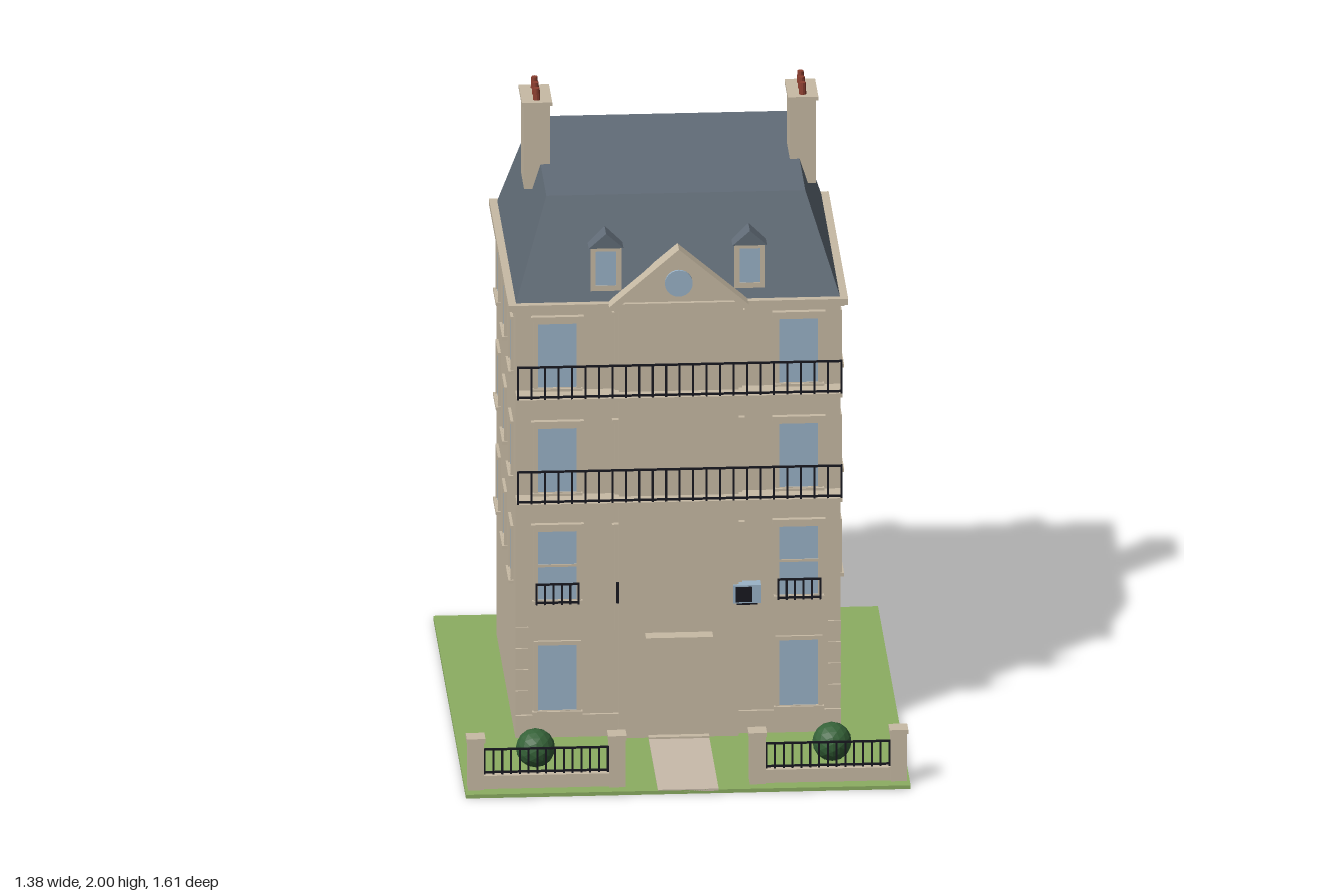
import * as THREE from 'three';

const mat = (name, color, side = THREE.FrontSide) => {
  const m = new THREE.MeshStandardMaterial({ color, side, flatShading: true });
  m.name = name;
  return m;
};
const M = {
  stone: mat('stone', 0xc8bba5),
  slate: mat('slate', 0x626d78),
  glass: mat('glass', 0x9ab3c8),
  grass: mat('grass', 0x8cae62),
  path: mat('path', 0xc9bbab),
  iron: mat('iron', 0x17181f),
  pot: mat('clay', 0x8c3f30),
  bush: mat('foliage', 0x356238),
};

const add = (parent, name, geo, material) => {
  const m = new THREE.Mesh(geo, material);
  m.name = name;
  parent.add(m);
  return m;
};
// Box given by its minimum and maximum along each axis
const box = (parent, name, material, x0, x1, y0, y1, z0, z1) => {
  const m = add(parent, name, new THREE.BoxGeometry(Math.abs(x1 - x0), y1 - y0, z1 - z0), material);
  m.position.set((x0 + x1) / 2, (y0 + y1) / 2, (z0 + z1) / 2);
  return m;
};
const group = (parent, name) => {
  const g = new THREE.Group();
  g.name = name;
  parent.add(g);
  return g;
};
const prism = (points, depth, hole) => {
  const s = new THREE.Shape(points.map(p => new THREE.Vector2(...p)));
  if (hole) s.holes.push(hole);
  return new THREE.ExtrudeGeometry(s, { depth, bevelEnabled: false, curveSegments: 24 });
};
const rect = (w, y0, y1) => [[-w, y0], [w, y0], [w, y1], [-w, y1]];

// Window facing +z, with the wall at z = 0; w is the half width of the glass
function makeWindow(parent, w, y0, y1, lintel = false) {
  const g = group(parent, 'window');
  const f = 0.013;
  box(g, 'pane', M.glass, -w, w, y0, y1, 0.0005, 0.004);
  const hole = new THREE.Path(rect(w, y0, y1).map(p => new THREE.Vector2(...p)));
  add(g, 'frame', prism(rect(w + f, y0 - f, y1 + f), 0.009, hole), M.stone);
  box(g, 'sill', M.stone, -w - 0.018, w + 0.018, y0 - f, y0 - 0.002, 0, 0.016);
  if (lintel) {
    box(g, 'lintel', M.stone, -w - 0.022, w + 0.022, y1 + 0.012, y1 + 0.026, 0, 0.018);
    for (const s of [-1, 1]) {
      box(g, 'lintelBracket', M.stone, s * (w + 0.004), s * (w + 0.013), y1 - 0.012, y1 + 0.012, 0, 0.014);
    }
  }
  return g;
}

// Railing along x with evenly spaced bars
function makeRailing(parent, x0, x1, y0, y1, z, bars, t = 0.006) {
  const g = group(parent, 'railing');
  box(g, 'topRail', M.iron, x0, x1, y1 - t, y1, z - t / 2, z + t / 2);
  box(g, 'bottomRail', M.iron, x0, x1, y0 + 0.004, y0 + 0.004 + t, z - t / 2, z + t / 2);
  for (let i = 0; i <= bars; i++) {
    const x = x0 + t / 2 + (x1 - x0 - t) * i / bars;
    box(g, 'bar', M.iron, x - t / 2, x + t / 2, y0, y1, z - t / 2, z + t / 2);
  }
}

// Dormer facing +z, with its front at z = 0
function makeDormer(parent) {
  const g = group(parent, 'dormer');
  box(g, 'dormerBody', M.stone, -0.045, 0.045, 1.475, 1.62, -0.07, 0);
  box(g, 'dormerPane', M.glass, -0.032, 0.032, 1.492, 1.605, 0, 0.003);
  const hole = new THREE.Path(rect(0.032, 1.492, 1.605).map(p => new THREE.Vector2(...p)));
  add(g, 'dormerFrame', prism(rect(0.048, 1.475, 1.617), 0.006, hole), M.stone);
  const roof = add(g, 'dormerRoof', prism([[-0.054, 1.616], [0.054, 1.616], [0, 1.664]], 0.085), M.slate);
  roof.position.z = -0.076;
  return g;
}

export function createModel() {
  const model = new THREE.Group();
  model.name = 'townHouse';
  const F = 0.291, B = -0.63, W = 0.505, BAY = 0.323;

  // Garden
  box(model, 'lawn', M.grass, -0.69, 0.69, 0, 0.012, -0.81, 0.8);
  box(model, 'path', M.path, -0.094, 0.094, 0.008, 0.015, 0.31, 0.8);
  box(model, 'doorstep', M.stone, -0.094, 0.094, 0.012, 0.021, 0.3, 0.345);
  for (const s of [-1, 1]) {
    const bush = add(model, 'bush', new THREE.IcosahedronGeometry(0.061, 2), M.bush);
    bush.position.set(s * 0.46, 0.08, 0.575);
    const fence = group(model, 'fence');
    for (const x of [s * 0.218, s * 0.656]) {
      box(fence, 'gatePost', M.stone, x - 0.025, x + 0.025, 0.012, 0.168, 0.711, 0.761);
      box(fence, 'postCap', M.stone, x - 0.029, x + 0.029, 0.168, 0.182, 0.707, 0.765);
    }
    box(fence, 'lowWall', M.stone, s * 0.243, s * 0.631, 0.012, 0.055, 0.721, 0.751);
    const c = s * 0.437;
    makeRailing(fence, c - 0.194, c + 0.194, 0.055, 0.14, 0.736, 14);
  }

  // Main walls, centre bay and cornice
  box(model, 'walls', M.stone, -W, W, 0.012, 1.42, B, F);
  box(model, 'centreBay', M.stone, -0.185, 0.185, 0.012, 1.42, F, BAY);
  box(model, 'corniceLower', M.stone, -0.516, 0.516, 1.415, 1.425, -0.642, 0.302);
  box(model, 'cornice', M.stone, -0.527, 0.527, 1.422, 1.442, -0.655, 0.312);
  box(model, 'bayCornice', M.stone, -0.2, 0.2, 1.42, 1.442, F, 0.33);

  // Mansard roof: a box whose top corners are drawn in
  const roofGeo = new THREE.BoxGeometry(1.006, 0.315, 0.925);
  roofGeo.translate(0, 1.5985, -0.174);
  const p = roofGeo.attributes.position;
  for (let i = 0; i < p.count; i++) {
    if (p.getY(i) > 1.6) {
      p.setX(i, Math.sign(p.getX(i)) * 0.402);
      p.setZ(i, p.getZ(i) > -0.174 ? 0.183 : -0.531);
    }
  }
  roofGeo.computeVertexNormals();
  add(model, 'mansardRoof', roofGeo, M.slate);

  // Pediment with round window
  const pediment = group(model, 'pediment');
  add(pediment, 'gable', prism([[-0.205, 1.44], [0.205, 1.44], [0, 1.615]], 0.075), M.stone).position.z = 0.25;
  const inner = new THREE.Path([[-0.175, 1.45], [0.175, 1.45], [0, 1.6]].map(q => new THREE.Vector2(...q)));
  add(pediment, 'gableMoulding', prism([[-0.217, 1.44], [0.217, 1.44], [0, 1.626]], 0.055, inner), M.stone).position.z = 0.284;
  const eye = add(pediment, 'roundWindow', new THREE.CylinderGeometry(0.043, 0.043, 0.009, 24), M.glass);
  eye.rotation.x = Math.PI / 2;
  eye.position.set(0, 1.512, 0.329);

  for (const s of [-1, 1]) {
    // Front windows
    for (const [y0, y1, lintel] of [[0.1, 0.315], [0.465, 0.69, true], [0.82, 1.03, true], [1.165, 1.375, true]]) {
      makeWindow(model, 0.06, y0, y1, lintel).position.set(s * 0.375, 0, F);
    }
    box(model, 'sashBar', M.stone, s * 0.375 - 0.06, s * 0.375 + 0.06, 0.573, 0.581, F, F + 0.008);
    makeRailing(model, s * 0.375 - 0.068, s * 0.375 + 0.068, 0.455, 0.525, F + 0.025, 5);

    // Plinth, corner blocks and slim pilasters beside the bay
    box(model, 'plinth', M.stone, s * 0.185, s * W, 0.012, 0.085, F, F + 0.01);
    for (const y of [0.12, 0.19, 0.26, 0.33]) {
      box(model, 'cornerBlock', M.stone, s * 0.465, s * W, y, y + 0.045, F, F + 0.006);
    }
    for (const [y0, y1] of [[0.36, 0.7], [0.81, 1.045], [1.155, 1.4]]) {
      box(model, 'pilaster', M.stone, s * 0.185, s * 0.198, y0, y1, F, F + 0.014);
      box(model, 'pilasterCap', M.stone, s * 0.183, s * 0.206, y1, y1 + 0.012, F, F + 0.018);
    }

    // Dormers front and back
    makeDormer(model).position.set(s * 0.223, 0, 0.278);
    const rear = makeDormer(model);
    rear.position.set(s * 0.223, 0, -0.626);
    rear.rotation.y = Math.PI;

    // Chimneys
    const chimney = group(model, 'chimney');
    box(chimney, 'stack', M.stone, s * 0.372, s * 0.453, 1.675, 1.95, -0.25, -0.1);
    box(chimney, 'chimneyCap', M.stone, s * 0.366, s * 0.46, 1.95, 1.962, -0.258, -0.092);
    for (const z of [-0.227, -0.175, -0.123]) {
      add(chimney, 'chimneyPot', new THREE.CylinderGeometry(0.01, 0.012, 0.04, 10), M.pot).position.set(s * 0.413, 1.98, z);
    }
  }

  // Side and rear windows
  for (const [y0, y1] of [[0.5, 0.662], [0.845, 1.007], [1.19, 1.352]]) {
    for (const s of [-1, 1]) {
      for (const z of [0.138, -0.169, -0.478]) {
        const w = makeWindow(model, 0.05, y0, y1);
        w.position.set(s * W, 0, z);
        w.rotation.y = s * Math.PI / 2;
      }
    }
    for (const x of [-0.335, 0, 0.335]) {
      const w = makeWindow(model, 0.05, y0, y1);
      w.position.set(x, 0, B);
      w.rotation.y = Math.PI;
    }
  }

  // Long balconies
  for (const y of [0.797, 1.142]) {
    const balcony = group(model, 'balcony');
    box(balcony, 'balconySlab', M.stone, -W, W, y, y + 0.013, F, 0.381);
    makeRailing(balcony, -W, W, y + 0.013, y + 0.122, 0.376, 24);
  }

  // Door canopy, cooling unit and wall lamp
  box(model, 'doorCanopy', M.stone, -0.104, 0.104, 0.345, 0.358, BAY, 0.372);
  box(model, 'coolingUnit', M.glass, 0.168, 0.255, 0.453, 0.512, F, 0.334);
  box(model, 'coolingGrille', M.iron, 0.175, 0.226, 0.458, 0.507, 0.334, 0.338);
  box(model, 'coolingBracket', M.iron, 0.18, 0.245, 0.446, 0.453, F, 0.33);
  box(model, 'wallLamp', M.iron, -0.193, -0.185, 0.455, 0.522, F, 0.318);

  return model;
}
